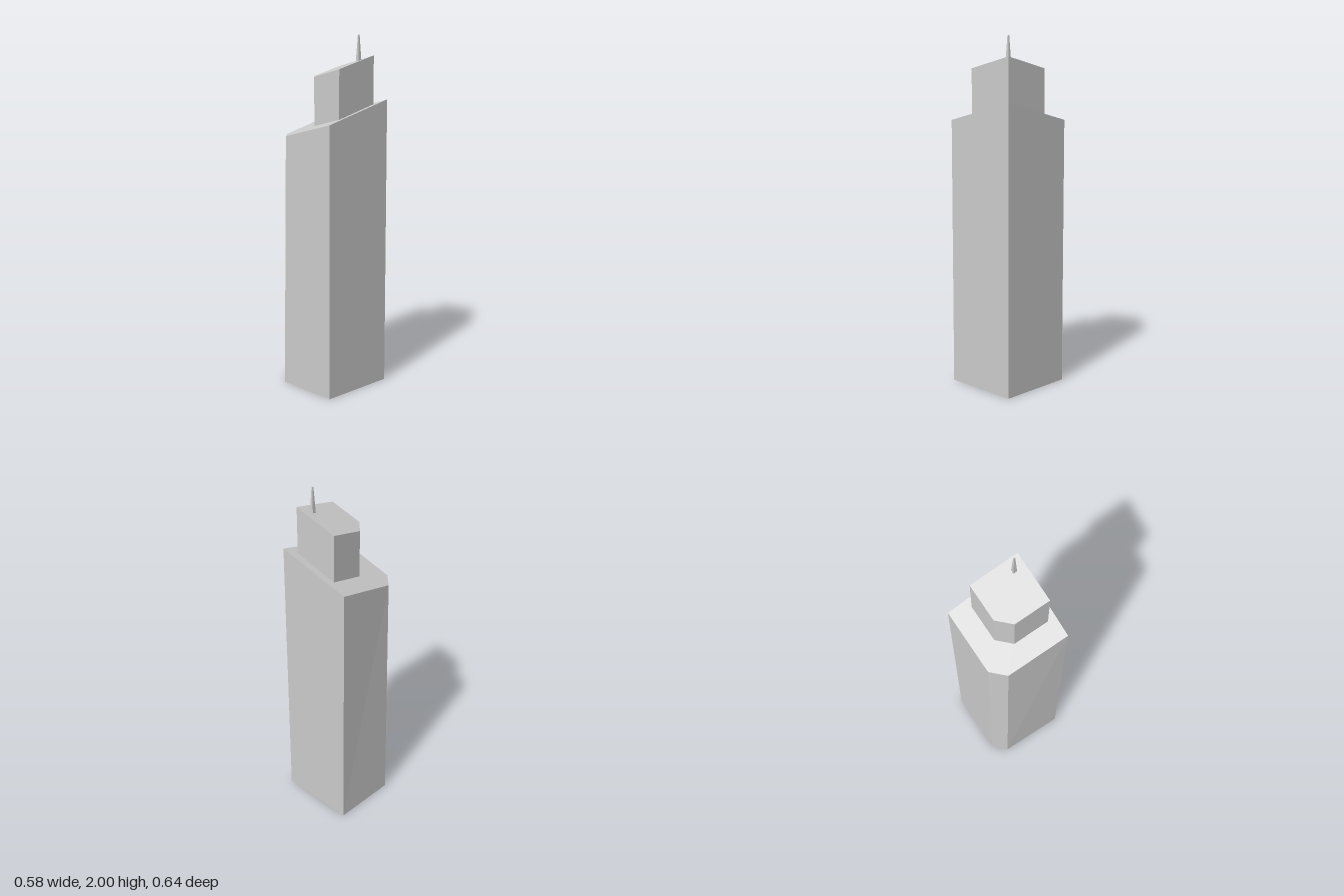
import * as THREE from 'three';

const material = new THREE.MeshStandardMaterial({
  color: 0xcccccc, flatShading: true, side: THREE.DoubleSide,
});

// Mirrored five-sided outline: a pointed prow at +x and a cut-off corner at -x.
// Each station is [x, half depth]; y follows from the height rule.
function outline([tip, side, cut], height) {
  return [
    [tip, 0], [side[0], -side[1]], [cut[0], -cut[1]],
    [cut[0], cut[1]], [side[0], side[1]],
  ].map(([x, z]) => [x, height(x), z]);
}

// Walls between two outlines, closed by a sloping roof and open underneath.
function prism(name, low, high) {
  const n = low.length;
  const index = [];
  for (let i = 0; i < n; i++) {
    const j = (i + 1) % n;
    index.push(i, j, n + j, i, n + j, n + i);
  }
  for (let i = 1; i < n - 1; i++) index.push(n, n + i, n + i + 1);
  const geometry = new THREE.BufferGeometry();
  geometry.setAttribute('position',
    new THREE.Float32BufferAttribute([...low, ...high].flat(), 3));
  geometry.setIndex(index);
  const flat = geometry.toNonIndexed();
  flat.computeVertexNormals();
  const mesh = new THREE.Mesh(flat, material);
  mesh.name = name;
  return mesh;
}

export function createModel() {
  const group = new THREE.Group();
  group.name = 'tower';

  const mainRoof = (x) => 1.645 + 0.355 * (x - 0.29);
  const upperRoof = (x) => 1.888 + 0.35 * (x - 0.215);

  // Main shaft, leaning in slightly on the cut-off side
  group.add(prism('mainShaft',
    outline([0.291, [-0.026, 0.318], [-0.293, 0.052]], () => 0),
    outline([0.291, [-0.026, 0.318], [-0.273, 0.054]], mainRoof)));

  // Set-back upper block standing on the sloping roof
  const upper = [0.215, [0.025, 0.202], [-0.114, 0.053]];
  group.add(prism('upperBlock', outline(upper, mainRoof), outline(upper, upperRoof)));

  // Four-sided tapering mast
  const mast = new THREE.Mesh(new THREE.CylinderGeometry(0.005, 0.016, 0.15, 4), material);
  mast.name = 'mast';
  mast.position.set(0.131, 1.925, 0);
  group.add(mast);

  return group;
}
